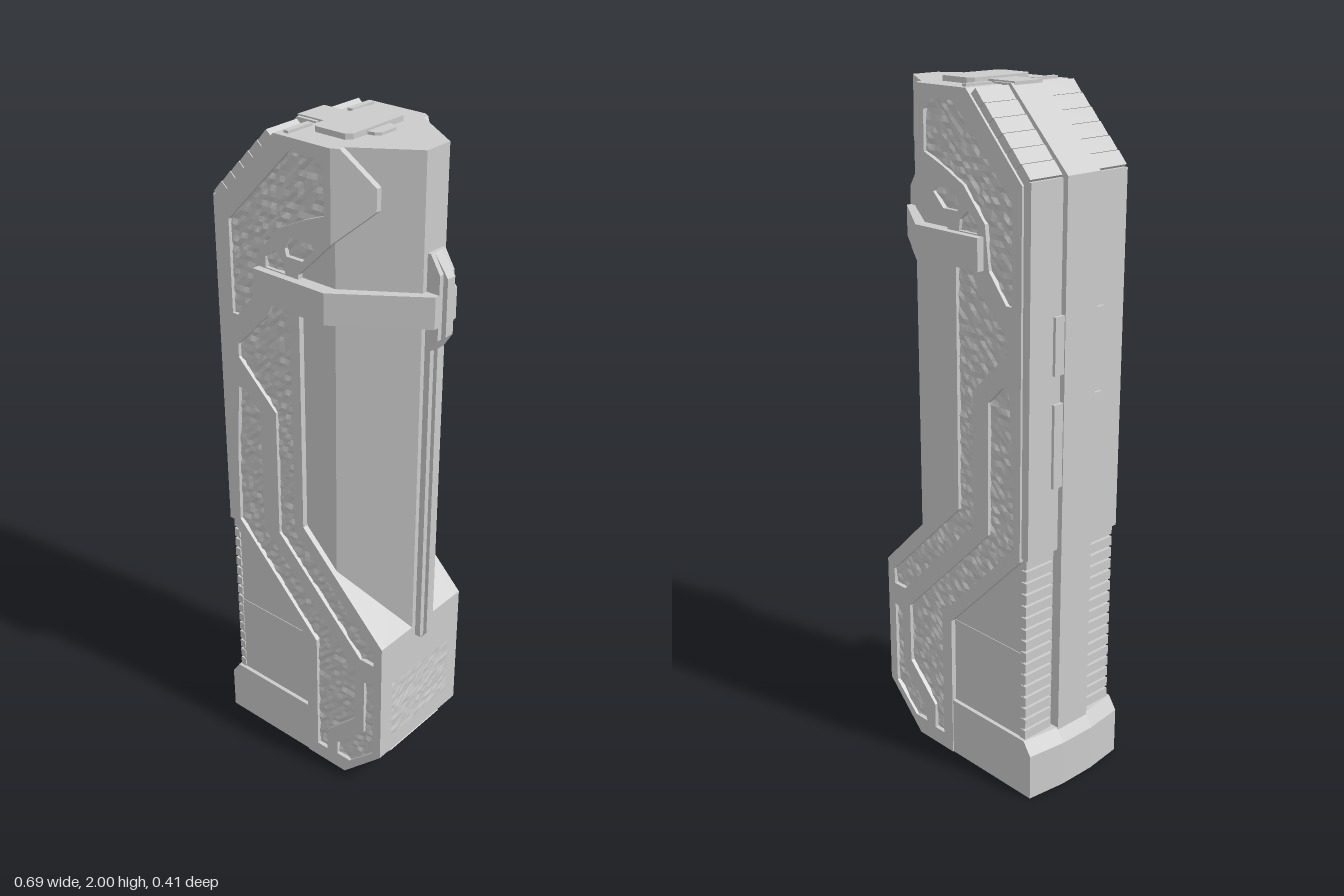
import * as THREE from 'three';

const mat = new THREE.MeshStandardMaterial({ color: 0xcccccc, flatShading: true });
const toShape = (pts) => new THREE.Shape(pts.map(([x, y]) => new THREE.Vector2(x, y)));

// extrude a side profile (x, y) from z0 to z1
function extrudeZ(pts, z0, z1, holes = []) {
  const s = toShape(pts);
  s.holes = holes.map(toShape);
  return new THREE.ExtrudeGeometry(s, { depth: z1 - z0, bevelEnabled: false }).translate(0, 0, z0);
}

// extrude a plan (x, z) from y0 to y1
function extrudeY(pts, y0, y1, holes = [], steps = 1) {
  const s = toShape(pts.map(([x, z]) => [x, -z]));
  s.holes = holes.map((h) => toShape(h.map(([x, z]) => [x, -z])));
  return new THREE.ExtrudeGeometry(s, { depth: y1 - y0, bevelEnabled: false, steps })
    .rotateX(-Math.PI / 2).translate(0, y0, 0);
}

// full plan from its +z half
const mirrored = (half) => [...half, ...half.map(([x, z]) => [x, -z]).reverse()];

function box(x0, x1, y0, y1, z0, z1) {
  return new THREE.BoxGeometry(x1 - x0, y1 - y0, z1 - z0)
    .translate((x0 + x1) / 2, (y0 + y1) / 2, (z0 + z1) / 2);
}

// mirrored copy across z with the winding put right
function mirrorZ(geo) {
  const g = geo.index ? geo.toNonIndexed() : geo.clone();
  const p = g.attributes.position;
  for (let i = 0; i < p.count; i += 3) {
    const a = [p.getX(i), p.getY(i), p.getZ(i)];
    p.setXYZ(i, p.getX(i + 1), p.getY(i + 1), -p.getZ(i + 1));
    p.setXYZ(i + 1, a[0], a[1], -a[2]);
    p.setZ(i + 2, -p.getZ(i + 2));
  }
  g.computeVertexNormals();
  return g;
}

function inside(x, y, poly) {
  let hit = false;
  poly.forEach(([ax, ay], i) => {
    const [bx, by] = poly[(i + 1) % poly.length];
    if ((ay > y) !== (by > y) && x < ax + ((y - ay) / (by - ay)) * (bx - ax)) hit = !hit;
  });
  return hit;
}

// seeded bumpy plane facing +z
function roughPlane(w, h, cell, amount) {
  const g = new THREE.PlaneGeometry(w, h, Math.round(w / cell), Math.round(h / cell));
  const p = g.attributes.position;
  let seed = 7;
  for (let i = 0; i < p.count; i++) {
    seed = (seed * 16807) % 2147483647;
    p.setZ(i, (seed / 2147483647 - 0.5) * amount);
  }
  g.computeVertexNormals();
  return g;
}

const PLATE = [[-0.285, 1.765], [-0.285, 0.74], [0, 0.45], [0, 0], [0.15, 0], [0.29, 0.14], [0.29, 0.555],
  [-0.005, 0.85], [-0.005, 1.63], [0.106, 1.74], [0.106, 1.985], [-0.08, 1.985]];
const RECESSES = [
  [[-0.25, 1.45], [-0.25, 1.72], [-0.03, 1.95], [0.065, 1.95], [0.085, 1.92], [0.085, 1.81], [0.01, 1.78],
    [-0.07, 1.74], [-0.15, 1.65], [-0.165, 1.53], [-0.23, 1.45]],
  [[-0.235, 1.36], [-0.12, 1.48], [-0.1, 1.52], [-0.037, 1.52], [-0.037, 0.82], [0.26, 0.53], [0.26, 0.48],
    [0.21, 0.48], [-0.1, 0.79], [-0.1, 1.19], [-0.235, 1.32]],
  [[-0.255, 1.02], [-0.24, 1.225], [-0.215, 1.225], [-0.16, 1.17], [-0.16, 0.78], [0.19, 0.43], [0.19, 0.24],
    [0.08, 0.13], [0.08, 0.05], [0.04, 0.05], [0.04, 0.46], [-0.26, 0.77]],
  [[0.225, 0.4], [0.26, 0.41], [0.26, 0.14], [0.17, 0.055], [0.12, 0.055], [0.12, 0.1], [0.225, 0.205]],
  [[-0.05, 1.69], [-0.03, 1.725], [0.04, 1.725], [0.05, 1.71], [0.01, 1.67], [-0.045, 1.67]],
  [[-0.12, 1.62], [-0.12, 1.65], [-0.085, 1.675], [-0.055, 1.65], [-0.05, 1.62]],
];

export function createModel() {
  const model = new THREE.Group();
  const add = (name, geo, parent = model) => {
    const m = new THREE.Mesh(geo, mat);
    m.name = name;
    parent.add(m);
    return m;
  };
  const addPair = (name, geo) => {
    add(name + 'Front', geo);
    add(name + 'Back', mirrorZ(geo));
  };

  // Core, tapered nose and lower block
  add('core', extrudeZ([[-0.29, 0.42], [0.106, 0.42], [0.106, 1.985], [-0.08, 1.985], [-0.29, 1.77]], -0.168, 0.168));
  add('nose', extrudeY(mirrored([[0.1, 0.168], [0.106, 0.168], [0.29, 0.045]]), 0.5, 1.985));
  add('lowerBlock', extrudeZ([[0, 0], [0.15, 0], [0.29, 0.14], [0.29, 0.555], [0, 0.845]], -0.166, 0.166));

  // Hollow lower grip and its flared foot
  const cavity = mirrored([[-0.27, 0.145], [0, 0.145]]);
  add('gripWalls', extrudeY(mirrored([[-0.29, 0.17], [0.005, 0.17]]), 0.1, 0.45, [mirrored([[-0.27, 0.145], [-0.005, 0.145]])]));
  const foot = extrudeY(mirrored([[-0.33, 0.182], [0.002, 0.182]]).concat([[-0.345, -0.06], [-0.345, 0.06]]), 0, 0.18,
    [cavity.map(([x, z]) => [x - 0.003, z])], 2);
  const fp = foot.attributes.position;
  for (let i = 0; i < fp.count; i++) {
    if (fp.getY(i) > 0.05 && fp.getY(i) < 0.15) fp.setY(i, 0.14);
    else if (fp.getY(i) > 0.15 && fp.getX(i) < -0.3) fp.setX(i, fp.getX(i) + 0.027);
  }
  foot.computeVertexNormals();
  add('foot', foot);
  for (const s of [-1, 1]) add('cavityTab', box(-0.275, -0.23, 0.02, 0.3, s * 0.07 - 0.012, s * 0.07 + 0.012));

  // Carved side plates with rough recess floors
  addPair('sidePlate', extrudeZ(PLATE, 0.16, 0.185, RECESSES));
  const rough = roughPlane(0.58, 2, 0.0155, 0.007).translate(0, 1, 0.174);
  const rp = rough.attributes.position;
  const keep = [];
  const idx = rough.index.array;
  for (let i = 0; i < idx.length; i += 3) {
    const tri = [idx[i], idx[i + 1], idx[i + 2]];
    if (tri.some((v) => RECESSES.some((r) => inside(rp.getX(v), rp.getY(v), r)))) keep.push(...tri);
  }
  rough.setIndex(keep);
  addPair('roughInlay', rough);

  // Plate flap folded over the nose
  const flap = extrudeZ([[0.106, 1.74], [0.2, 1.83], [0.2, 1.89], [0.125, 1.985], [0.106, 1.985]], 0.155, 0.185);
  const bp = flap.attributes.position;
  for (let i = 0; i < bp.count; i++) bp.setZ(i, bp.getZ(i) - (bp.getX(i) - 0.106) * 0.67);
  flap.computeVertexNormals();
  addPair('noseFlap', flap);

  // Spine with ribbed columns beside it
  add('spine', extrudeZ([[-0.27, 0.17], [-0.27, 1.72], [-0.05, 1.93], [-0.05, 1.99], [-0.115, 1.99],
    [-0.322, 1.78], [-0.322, 0.17]], -0.06, 0.06));
  add('spineCap', box(-0.12, 0, 1.96, 1.994, -0.05, 0.05));
  for (const s of [-1, 1]) {
    const zc = s * 0.121;
    add('backColumn', box(-0.31, -0.27, 0.75, 1.775, zc - 0.057, zc + 0.057));
    for (let i = 0; i < 16; i++) {
      const y = 0.18 + i * 0.036;
      add('gripRib', box(-0.3, -0.28, y, y + 0.028, zc - 0.052, zc + 0.052));
    }
    for (let i = 0; i < 6; i++) {
      const t = (i + 0.5) / 6;
      const rib = add('shoulderRib', new THREE.BoxGeometry(0.045, 0.035, 0.114));
      rib.position.set(-0.295 + 0.2 * t, 1.77 + 0.205 * t, zc);
      rib.rotation.z = Math.PI / 4 + 0.06;
    }
    for (const [y0, y1] of [[0.94, 1.18], [1.26, 1.42]]) {
      add('spineClip', box(-0.319, -0.3, y0, y1, s * 0.075 - 0.018, s * 0.075 + 0.018));
    }
    add('topClip', box(-0.062, -0.046, 1.97, 1.992, zc - 0.045, zc + 0.045));
  }

  // Top button
  add('topButton', extrudeY(mirrored([[-0.02, 0.097], [-0.005, 0.112], [0.09, 0.112], [0.104, 0.097]]), 1.97, 2));
  add('topButtonTab', extrudeY(mirrored([[0.1, 0.045], [0.125, 0.04], [0.137, 0.028]]), 1.97, 1.993));

  // Wrap-around band
  addPair('bandArm', extrudeY([[-0.145, 0.207], [0.1, 0.207], [0.33, 0.045], [0.33, 0.025], [0.29, 0.025],
    [0.29, 0.042], [0.093, 0.165], [-0.145, 0.165]], 1.528, 1.617));

  // Leading rail and its clasp
  add('rail', extrudeZ([[0.285, 0.51], [0.3, 0.505], [0.318, 0.53], [0.318, 1.5], [0.285, 1.5]], -0.012, 0.012));
  add('clasp', extrudeZ([[0.285, 1.72], [0.3, 1.72], [0.344, 1.66], [0.344, 1.5], [0.312, 1.45], [0.285, 1.45]], -0.015, 0.015));
  for (const s of [-1, 1]) {
    add('railSide', box(0.285, 0.308, 0.52, 1.46, s * 0.022 - 0.008, s * 0.022 + 0.008));
    add('claspSide', extrudeZ([[0.285, 1.72], [0.3, 1.72], [0.33, 1.67], [0.33, 1.49], [0.305, 1.45], [0.285, 1.45]],
      s * 0.022 - 0.008, s * 0.022 + 0.008));
  }

  // Rough panel on the front of the block and framed panel on its chamfer
  add('blockPanel', roughPlane(0.27, 0.2, 0.014, 0.004).rotateY(Math.PI / 2).translate(0.292, 0.3, 0));
  const chamfer = new THREE.Group();
  chamfer.name = 'chamferPanel';
  chamfer.position.set(0.22, 0.07, 0);
  chamfer.rotation.z = -Math.PI / 4;
  model.add(chamfer);
  for (const s of [-1, 1]) {
    add('frameBar', box(-0.01, 0.008, s * 0.068 - 0.008, s * 0.068 + 0.008, -0.12, 0.12), chamfer);
    add('frameEnd', box(-0.01, 0.008, -0.07, 0.07, s * 0.114 - 0.008, s * 0.114 + 0.008), chamfer);
  }
  add('roughPanel', roughPlane(0.22, 0.13, 0.014, 0.004).rotateY(Math.PI / 2).translate(0.003, 0, 0), chamfer);
  return model;
}
